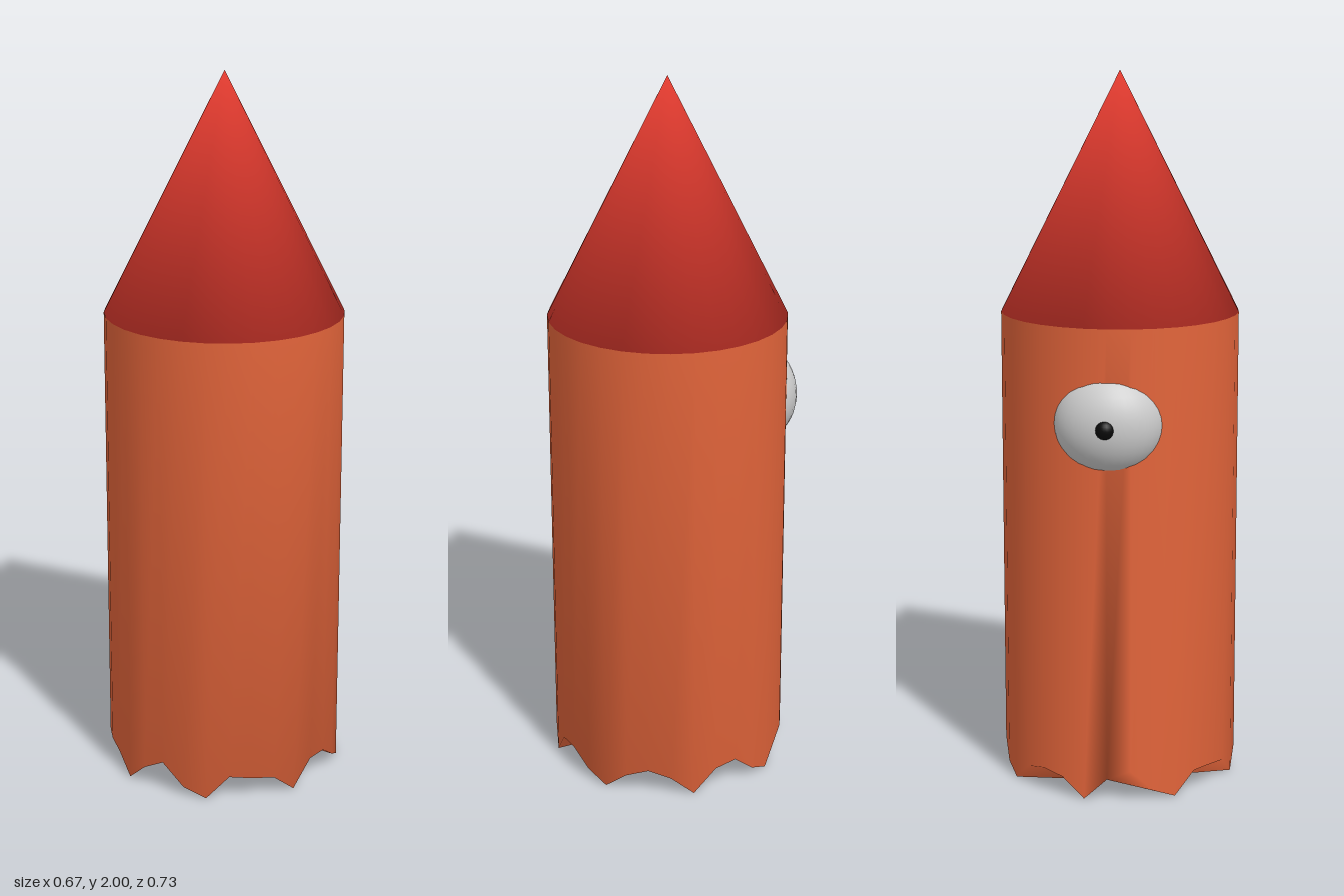
import * as THREE from 'three';

const SIDES = 32, R = 0.333, CZ = 0.031, SHOULDER = 1.335, TOP = 2;

const mat = (color) => new THREE.MeshStandardMaterial({ color, side: THREE.DoubleSide });

// Point on the ring at step k, counted from the front towards +x
const ring = (k, y) => {
  const a = (k / SIDES) * Math.PI * 2;
  return [R * Math.sin(a), y, R * Math.cos(a) + CZ];
};

function mesh(name, geometry, material) {
  const m = new THREE.Mesh(geometry, material);
  m.name = name;
  return m;
}

function indexed(positions, index) {
  const g = new THREE.BufferGeometry();
  g.setAttribute('position', new THREE.Float32BufferAttribute(positions, 3));
  g.setIndex(index);
  g.computeVertexNormals();
  return g;
}

// Tube whose lower edge is torn into eight teeth, closed by a crumpled fan
function bodyGeometry() {
  const tear = [0.065, 0.08, 0.045, 0.005];
  const positions = [], index = [];
  for (let k = 0; k < SIDES; k++) {
    const jitter = k % 4 === 3 ? 0 : 0.015 * Math.sin(k * 2.3 + 1);
    positions.push(...ring(k, SHOULDER), ...ring(k, tear[k % 4] + jitter));
  }
  for (let k = 0; k < SIDES; k++) {
    const t = 2 * k, n = 2 * ((k + 1) % SIDES);
    index.push(t, t + 1, n, n, t + 1, n + 1);
  }
  // Fan starts at the middle of the back edge
  const start = SIDES / 2, rim = (i) => 2 * ((start + i) % SIDES) + 1;
  for (let i = 1; i < SIDES - 1; i++) index.push(rim(0), rim(i + 1), rim(i));
  return indexed(positions, index);
}

// Cone with its base; normals are blended softly over the rim
function tipGeometry() {
  const positions = [0, TOP, CZ], normals = [0, 1, 0], index = [];
  for (let k = 0; k < SIDES; k++) {
    const a = (k / SIDES) * Math.PI * 2;
    positions.push(...ring(k, SHOULDER));
    normals.push(0.866 * Math.sin(a), -0.5, 0.866 * Math.cos(a));
    index.push(0, k + 1, ((k + 1) % SIDES) + 1);
  }
  for (let k = 2; k < SIDES; k++) index.push(1, k + 1, k);
  const g = indexed(positions, index);
  g.setAttribute('normal', new THREE.Float32BufferAttribute(normals, 3));
  return g;
}

export function createModel() {
  const group = new THREE.Group();
  group.name = 'pointedFigure';

  group.add(mesh('body', bodyGeometry(), mat(0xe2643a)));
  group.add(mesh('pointedTip', tipGeometry(), mat(0xe63c30)));

  // Single eye half sunk into the back
  const eye = mesh('eye', new THREE.SphereGeometry(0.15, 32, 20), mat(0xcccccc));
  eye.scale.set(1.02, 0.97, 0.78);
  eye.position.set(0, 1.07, -0.235);
  const pupil = mesh('pupil', new THREE.SphereGeometry(0.028, 20, 14), mat(0x0a0a0a));
  pupil.position.set(0, 1.07, -0.337);
  group.add(eye, pupil);

  return group;
}
